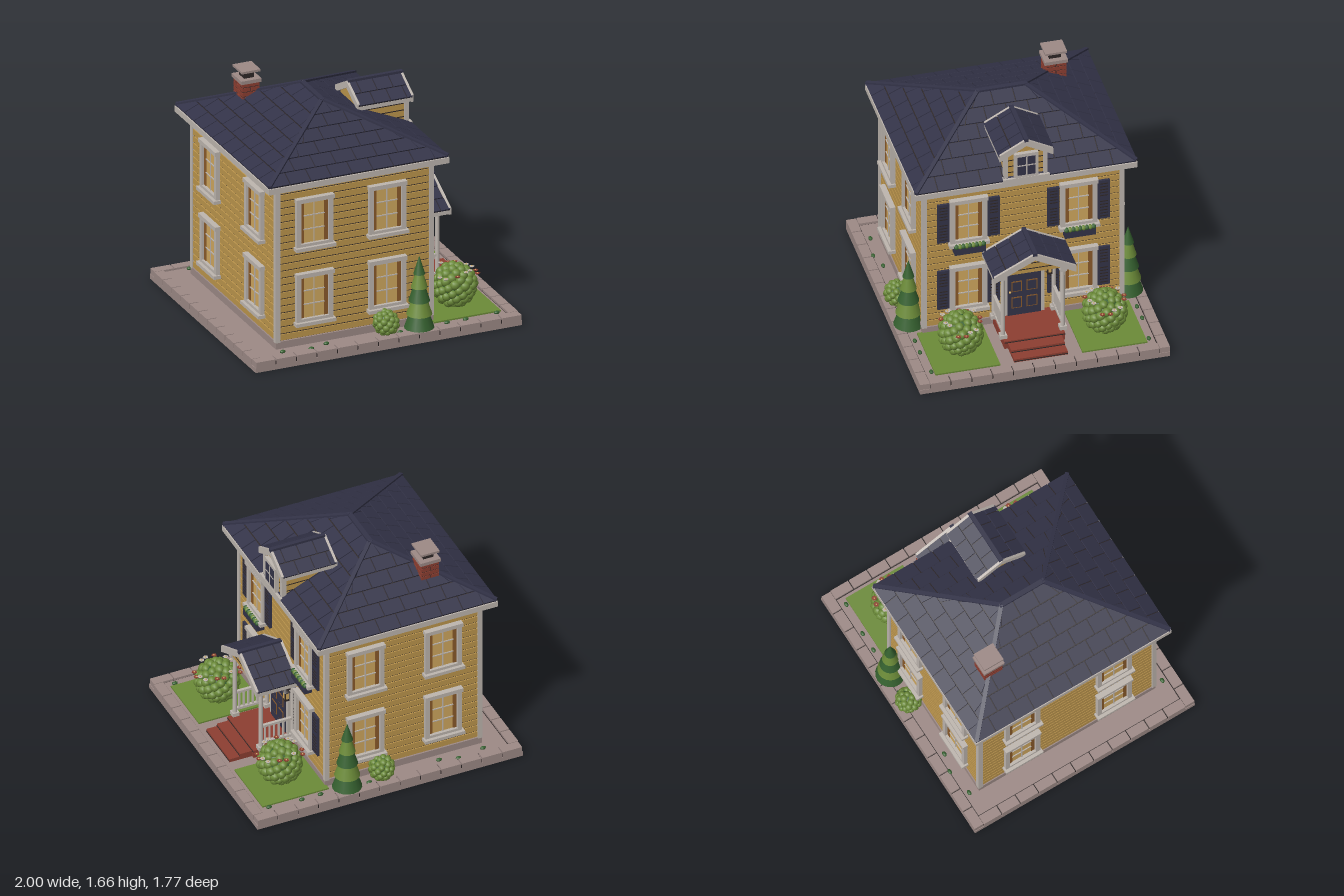
import * as THREE from 'three';
import { mergeGeometries } from 'three/addons/utils/BufferGeometryUtils.js';

const mat = (name, color) => Object.assign(new THREE.MeshStandardMaterial({ color }), { name });
const M = {
  siding: mat('siding yellow', 0xbc954c), trim: mat('trim white', 0xbdb5ae), slate: mat('slate navy', 0x333348),
  stone: mat('paving stone', 0x9c8985), brick: mat('brick red', 0x8c3e31), leaf: mat('leaf green', 0x6b8a38),
  pine: mat('dark green', 0x35602f), wood: mat('curtain brown', 0x8a5a2a), pane: mat('lit glass', 0xcfa75e),
  dark: mat('joint dark', 0x2e2727),
};
const V = (x, y, z) => new THREE.Vector3(x, y, z);
const CX = -0.18, HX = 0.585, HZ = 0.705; // house centre and half sizes

function add(parent, name, geo, m, x = 0, y = 0, z = 0) {
  const mesh = new THREE.Mesh(geo, m);
  mesh.name = name;
  mesh.position.set(x, y, z);
  parent.add(mesh);
  return mesh;
}
const box = (p, name, m, w, h, d, x, y, z) => add(p, name, new THREE.BoxGeometry(w, h, d), m, x, y, z);
// box given by its limits
const span = (p, name, m, x0, x1, y0, y1, z0, z1) =>
  box(p, name, m, x1 - x0, y1 - y0, z1 - z0, (x0 + x1) / 2, (y0 + y1) / 2, (z0 + z1) / 2);
function bar(p, name, m, a, b, w, h) {
  const mesh = box(p, name, m, w, h, a.distanceTo(b), 0, 0, 0);
  mesh.position.copy(a).lerp(b, 0.5);
  mesh.lookAt(b);
}
function group(parent, name, x = 0, y = 0, z = 0, ry = 0) {
  const g = new THREE.Group();
  g.name = name;
  g.position.set(x, y, z);
  g.rotation.y = ry;
  parent.add(g);
  return g;
}
const poly = (pts, depth) => new THREE.ExtrudeGeometry(
  new THREE.Shape(pts.map(([x, y]) => new THREE.Vector2(x, y))), { depth, bevelEnabled: false });

// one roof face: dark plate with staggered shingles clipped to its outline
function roofSlope(p, name, A, B, C, D, row = 0.12, len = 0.155) {
  const u = B.clone().sub(A).normalize(), ad = D.clone().sub(A);
  const dl = ad.dot(u), v = ad.clone().addScaledVector(u, -dl), H = v.length();
  v.normalize();
  const W = A.distanceTo(B), dr = C.clone().sub(A).dot(u);
  const L = (t) => dl * t / H, R = (t) => W + (dr - W) * t / H;
  const rows = Math.max(1, Math.round(H / row)), gap = 0.004, tiles = [];
  for (let r = 0; r < rows; r++) {
    const v0 = r * H / rows, v1 = (r + 1) * H / rows - gap * 2;
    for (let s = -len * (r % 2) / 2; s < W; s += len) {
      const cl = (x, t) => Math.min(Math.max(x, L(t)), R(t));
      const a = cl(s + gap, v0), b = cl(s + len - gap, v0), c = cl(s + len - gap, v1), d = cl(s + gap, v1);
      if (b - a + c - d < 0.012) continue;
      tiles.push(poly([[a, v0], [b, v0], [c, v1], [d, v1]], 0.014));
    }
  }
  const g = group(p, name);
  g.matrix.makeBasis(u, v, u.clone().cross(v)).setPosition(A);
  g.matrix.decompose(g.position, g.quaternion, g.scale);
  add(g, 'roofBacking', poly(dr - dl < 0.001 ? [[0, 0], [W, 0], [dr, H]] : [[0, 0], [W, 0], [dr, H], [dl, H]], 0.005), M.dark);
  add(g, 'shingles', mergeGeometries(tiles), M.slate);
}

// small gable roof running along x
function gableRoof(p, name, x0, x1, hz, yE, yR) {
  const g = group(p, name);
  roofSlope(g, 'roofSide', V(x0, yE, hz), V(x1, yE, hz), V(x1, yR, 0), V(x0, yR, 0), 0.11, 0.12);
  roofSlope(g, 'roofSide', V(x1, yE, -hz), V(x0, yE, -hz), V(x0, yR, 0), V(x1, yR, 0), 0.11, 0.12);
  const chevron = (up, th, d) => poly([[-hz, yE + up], [0, yR + up], [hz, yE + up], [hz, yE + up - th], [0, yR + up - th], [-hz, yE + up - th]], d).rotateY(Math.PI / 2);
  add(g, 'soffit', chevron(-0.001, 0.028, x1 - x0), M.trim, x0);
  for (const x of [x0 - 0.008, x1 - 0.008]) add(g, 'rakeBoard', chevron(0.018, 0.052, 0.018), M.trim, x);
  bar(g, 'ridgeCap', M.slate, V(x0, yR + 0.013, 0), V(x1 + 0.012, yR + 0.013, 0), 0.03, 0.024);
}

function makeWindow(p, w = 0.275, h = 0.37) {
  const s = new THREE.Shape(), b = 0.033, a = w / 2, c = h / 2;
  s.moveTo(-a, -c).lineTo(a, -c).lineTo(a, c).lineTo(-a, c).closePath();
  const hole = new THREE.Path();
  hole.moveTo(b - a, b - c).lineTo(b - a, c - b).lineTo(a - b, c - b).lineTo(a - b, b - c).closePath();
  s.holes.push(hole);
  add(p, 'windowFrame', new THREE.ExtrudeGeometry(s, { depth: 0.03, bevelEnabled: false }), M.trim);
  box(p, 'windowHead', M.trim, w + 0.01, 0.03, 0.042, 0, c - 0.012, 0.02);
  box(p, 'windowSill', M.trim, w + 0.025, 0.025, 0.055, 0, -c, 0.026);
  const ow = w - 2 * b, oh = h - 2 * b;
  box(p, 'glass', M.pane, ow, oh, 0.006, 0, 0, 0.004);
  for (const k of [-1, 1]) box(p, 'curtain', M.wood, 0.028, oh, 0.008, k * (ow / 2 - 0.014), 0, 0.007);
  box(p, 'mullion', M.trim, 0.007, oh, 0.008, 0, 0, 0.01);
  for (const k of [-1, 1]) box(p, 'glazingBar', M.trim, ow - 0.05, 0.007, 0.008, 0, k * oh / 6, 0.01);
}

function makeShutter(p, x) {
  box(p, 'shutter', M.slate, 0.085, 0.32, 0.018, x, 0, 0.009);
  for (let i = 0; i < 12; i++) if (i !== 6) box(p, 'louvreGap', M.dark, 0.055, 0.007, 0.004, x, -0.135 + i * 0.0245, 0.019);
}

function makeDoor(p) {
  box(p, 'doorFrame', M.trim, 0.29, 0.5, 0.025, 0, 0.375, 0.012);
  box(p, 'doorHead', M.trim, 0.31, 0.025, 0.04, 0, 0.62, 0.02);
  box(p, 'door', M.slate, 0.235, 0.465, 0.01, 0, 0.362, 0.027);
  for (const x of [-0.054, 0.054]) for (const [y, h] of [[0.52, 0.065], [0.37, 0.085], [0.235, 0.09]]) {
    box(p, 'panelMoulding', M.wood, 0.075, h, 0.006, x, y, 0.033);
    box(p, 'doorPanel', h < 0.07 ? M.pane : M.slate, 0.061, h - 0.014, 0.006, x, y, 0.035);
  }
  add(p, 'doorKnob', new THREE.SphereGeometry(0.009, 10, 8), M.pane, -0.103, 0.33, 0.04);
}

function makeBush(p, x, y, z, r, n, ball, flowers) {
  const g = group(p, 'bush', x, y, z), balls = [];
  add(g, 'bushCore', new THREE.SphereGeometry(r - ball * 0.8, 16, 12), M.pine);
  for (let i = 0; i < n; i++) {
    const t = 1 - 2 * (i + 0.5) / n, a = i * 2.39996, q = Math.sqrt(1 - t * t), k = r - ball;
    balls.push(new THREE.SphereGeometry(ball * (0.92 + 0.16 * ((i * 7) % 5) / 4), 9, 7).translate(k * q * Math.cos(a), k * t, k * q * Math.sin(a)));
  }
  add(g, 'leaves', mergeGeometries(balls), M.leaf);
  for (let i = 0; i < flowers; i++) {
    const a = i * 2.39996, e = 0.45 + 0.12 * (i % 4), k = r + 0.012;
    const at = [k * Math.cos(e) * Math.cos(a), k * Math.sin(e), k * Math.cos(e) * Math.sin(a)];
    add(g, 'flower', new THREE.CylinderGeometry(0.02, 0.014, 0.007, 5), i % 2 ? M.trim : M.brick, ...at);
    add(g, 'flowerHeart', new THREE.SphereGeometry(0.006, 6, 5), M.pane, at[0], at[1] + 0.004, at[2]);
  }
}

export function createModel() {
  const root = new THREE.Group();
  root.name = 'house';

  // plot with kerb stones, lawns and weeds
  const plot = group(root, 'plot');
  span(plot, 'slab', M.stone, -1, 1, 0.002, 0.036, -0.885, 0.885);
  span(plot, 'kerbJoints', M.dark, -0.994, 0.994, 0.036, 0.062, -0.879, 0.879);
  span(plot, 'paving', M.stone, -0.922, 0.922, 0.036, 0.067, -0.808, 0.808);
  for (const k of [-1, 1]) {
    for (let i = 0; i < 13; i++) box(plot, 'kerbStone', M.stone, 2 / 13 - 0.009, 0.042, 0.07, -1 + (i + 0.5) * 2 / 13, 0.057, k * 0.85);
    for (let i = 0; i < 11; i++) box(plot, 'kerbStone', M.stone, 0.07, 0.042, 1.63 / 11 - 0.009, k * 0.965, 0.057, -0.815 + (i + 0.5) * 1.63 / 11);
    box(plot, 'lawn', M.leaf, 0.5, 0.016, 0.46, 0.65, 0.07, k * 0.52);
    for (const x of [-0.75, -0.55, -0.42, 0.12, 0.48, 0.62, 0.86])
      add(plot, 'weed', new THREE.SphereGeometry(0.018, 8, 6).scale(1.2, 0.7, 0.8), M.pine, x, 0.075, k * (0.79 + 0.02 * Math.sin(x * 20)));
  }

  // walls: stacked boards over a dark core
  const walls = group(root, 'walls');
  box(walls, 'foundation', M.stone, HX * 2 + 0.012, 0.06, HZ * 2 + 0.014, CX, 0.09, 0);
  box(walls, 'wallCore', M.dark, HX * 2 - 0.016, 1.15, HZ * 2 - 0.016, CX, 0.69, 0);
  const pitch = 1.146 / 22;
  for (let i = 0; i < 22; i++) box(walls, 'sidingBoard', M.siding, HX * 2, pitch - 0.009, HZ * 2, CX, 0.12 + pitch * (i + 0.5), 0);
  for (const sx of [-1, 1]) for (const sz of [-1, 1])
    box(walls, 'cornerBoard', M.trim, 0.034, 1.15, 0.034, CX + sx * 0.578, 0.69, sz * 0.7);

  // windows on all four walls
  const onWall = (name, ry, u, y) => {
    const d = Math.abs(Math.sin(ry)) > 0.5 ? HX : HZ, c = Math.cos(ry), s = Math.sin(ry);
    return group(root, name, CX + u * c + d * s, y, -u * s + d * c, ry);
  };
  for (const y of [0.42, 0.98]) {
    for (const x of [-0.487, 0.06]) makeWindow(onWall('frontWindow', 0, x - CX, y));
    for (const x of [-0.475, 0.11]) makeWindow(onWall('backWindow', Math.PI, CX - x, y));
    for (const k of [-1, 1]) {
      makeWindow(onWall('rightWindow', -Math.PI / 2, k * 0.37, y));
      const w = onWall('entranceSideWindow', Math.PI / 2, k * 0.39, y);
      makeWindow(w, 0.26);
      for (const q of [-1, 1]) makeShutter(w, q * 0.178);
      if (y < 0.5) continue;
      box(w, 'flowerBox', M.slate, 0.22, 0.055, 0.06, 0, -0.222, 0.035);
      for (let i = 0; i < 9; i++) add(w, 'boxPlant', new THREE.SphereGeometry(0.02, 8, 6), i % 2 ? M.leaf : M.pine, -0.095 + i * 0.0238, -0.19, 0.05);
    }
  }
  makeDoor(onWall('entrance', Math.PI / 2, 0, 0));

  // hipped roof
  const roof = group(root, 'roof');
  box(roof, 'eaves', M.trim, 1.355, 0.042, 1.575, CX, 1.285, 0);
  const e = 1.308, t = 1.6, x0 = -0.85, x1 = 0.49, z = 0.78;
  const F = V(CX, t, 0.165), B = V(CX, t, -0.165);
  const c = [V(x0, e, z), V(x1, e, z), V(x1, e, -z), V(x0, e, -z)];
  roofSlope(roof, 'roofFront', c[0], c[1], F, F);
  roofSlope(roof, 'roofLeft', c[1], c[2], B, F);
  roofSlope(roof, 'roofBack', c[2], c[3], B, B);
  roofSlope(roof, 'roofRight', c[3], c[0], F, B);
  c.forEach((p, i) => bar(roof, 'hipCap', M.slate, p.clone().setY(e + 0.012), (i % 3 ? (i === 1 ? F : B) : (i ? B : F)).clone().setY(t + 0.012), 0.028, 0.024));
  bar(roof, 'ridgeCap', M.slate, V(CX, t + 0.01, -0.18), V(CX, t + 0.01, 0.18), 0.035, 0.025);

  // chimney
  const ch = group(root, 'chimney', -0.47, 0, -0.447);
  box(ch, 'mortar', M.dark, 0.122, 0.2, 0.138, 0, 1.47, 0);
  for (let i = 0; i < 6; i++) for (const k of [-1, 1])
    box(ch, 'brickCourse', M.brick, i % 2 ? 0.13 : 0.062, 0.028, i % 2 ? 0.07 : 0.146, i % 2 ? 0 : k * 0.034, 1.39 + i * 0.034, i % 2 ? k * 0.038 : 0);
  box(ch, 'chimneyCollar', M.stone, 0.152, 0.026, 0.165, 0, 1.585, 0);
  box(ch, 'flue', M.dark, 0.075, 0.06, 0.085, 0, 1.62, 0);
  box(ch, 'chimneyCap', M.stone, 0.14, 0.016, 0.155, 0, 1.657, 0);

  // dormer
  const dormer = group(root, 'dormer');
  span(dormer, 'dormerBody', M.siding, 0.1, 0.468, 1.31, 1.53, -0.145, 0.145);
  add(dormer, 'dormerGable', poly([[-0.145, 1.52], [0.145, 1.52], [0, 1.61]], 0.367).rotateY(Math.PI / 2), M.siding, 0.1);
  for (const k of [-1, 1]) {
    box(dormer, 'dormerCorner', M.trim, 0.034, 0.2, 0.03, 0.462, 1.41, k * 0.14);
    box(dormer, 'dormerEave', M.trim, 0.41, 0.022, 0.03, 0.285, 1.515, k * 0.172);
  }
  box(dormer, 'dormerSill', M.trim, 0.05, 0.025, 0.33, 0.475, 1.315, 0);
  for (let i = 0; i < 4; i++) box(dormer, 'dormerSidingLine', M.dark, 0.362, 0.007, 0.292, 0.288, 1.365 + i * 0.05, 0);
  const dw = group(dormer, 'dormerWindow', 0.468, 1.425, 0, Math.PI / 2);
  box(dw, 'windowFrame', M.trim, 0.17, 0.2, 0.03, 0, 0, 0.015);
  box(dw, 'glass', M.slate, 0.125, 0.15, 0.006, 0, 0, 0.03);
  box(dw, 'mullion', M.trim, 0.009, 0.15, 0.006, 0, 0, 0.032);
  box(dw, 'glazingBar', M.trim, 0.125, 0.009, 0.006, 0, 0.005, 0.032);
  gableRoof(dormer, 'dormerRoof', 0.085, 0.488, 0.19, 1.518, 1.622);

  // porch with posts, railings, lanterns and steps
  const porch = group(root, 'porch');
  gableRoof(porch, 'porchRoof', 0.415, 0.725, 0.29, 0.672, 0.82);
  add(porch, 'porchGable', poly([[-0.255, 0.667], [0.255, 0.667], [0, 0.795]], 0.3).rotateY(Math.PI / 2), M.siding, 0.4);
  for (let i = 0; i < 2; i++) box(porch, 'gableLine', M.dark, 0.004, 0.006, 0.34 - i * 0.19, 0.7, 0.7 + i * 0.045, 0);
  span(porch, 'landing', M.brick, 0.36, 0.72, 0, 0.128, -0.215, 0.215);
  span(porch, 'step', M.brick, 0.72, 0.81, 0.06, 0.112, -0.19, 0.19);
  span(porch, 'step', M.brick, 0.81, 0.89, 0.06, 0.092, -0.19, 0.19);
  for (const [x, y, w] of [[0.721, 0.116, 0.43], [0.811, 0.096, 0.38], [0.891, 0.076, 0.38]]) box(porch, 'brickJoint', M.dark, 0.003, 0.006, w, x, y, 0);
  for (const k of [-1, 1]) {
    const zz = k * 0.212;
    box(porch, 'sideBeam', M.trim, 0.3, 0.03, 0.04, 0.555, 0.655, zz);
    for (const x of [0.425, 0.665]) {
      add(porch, 'post', new THREE.CylinderGeometry(0.014, 0.017, 0.51, 14), M.trim, x, 0.385, zz);
      box(porch, 'postBase', M.trim, 0.05, 0.03, 0.05, x, 0.142, zz);
      box(porch, 'postCapital', M.trim, 0.048, 0.022, 0.048, x, 0.632, zz);
    }
    for (const y of [0.18, 0.32]) box(porch, 'rail', M.trim, 0.24, 0.018, 0.022, 0.545, y, zz);
    for (let i = 0; i < 6; i++) box(porch, 'baluster', M.trim, 0.011, 0.13, 0.011, 0.462 + i * 0.034, 0.25, zz);
    const lamp = group(porch, 'lantern', 0.455, 0.49, k * 0.172);
    box(lamp, 'lanternArm', M.dark, 0.06, 0.012, 0.012, -0.025, 0.05, 0);
    add(lamp, 'lanternTop', new THREE.ConeGeometry(0.032, 0.03, 4).rotateY(Math.PI / 4), M.dark, 0, 0.05, 0);
    box(lamp, 'lanternCase', M.dark, 0.034, 0.075, 0.034, 0, 0, 0);
    box(lamp, 'lanternGlass', M.pane, 0.038, 0.045, 0.022, 0, 0.003, 0);
    box(lamp, 'lanternGlass', M.pane, 0.022, 0.045, 0.038, 0, 0.003, 0);
  }

  // planting
  const garden = group(root, 'garden');
  for (const k of [-1, 1]) {
    makeBush(garden, 0.66, 0.218, k * 0.51, 0.163, 85, 0.033, 14);
    makeBush(garden, 0.02, 0.16, k * 0.79, 0.097, 46, 0.025, 0);
    const tree = group(garden, 'coneTree', 0.275, 0, k * 0.778);
    [[0.075, 0.105, 0.07], [0.175, 0.09, 0.056], [0.275, 0.075, 0.042], [0.375, 0.058, 0.028], [0.475, 0.041, 0.001]].forEach(([y, rb, rt], i) => {
      const h = i === 4 ? 0.132 : 0.104;
      add(tree, 'treeTier', new THREE.CylinderGeometry(rt, rb, h, 18), i % 2 ? M.leaf : M.pine, 0, y + h / 2, 0);
    });
  }
  return root;
}
